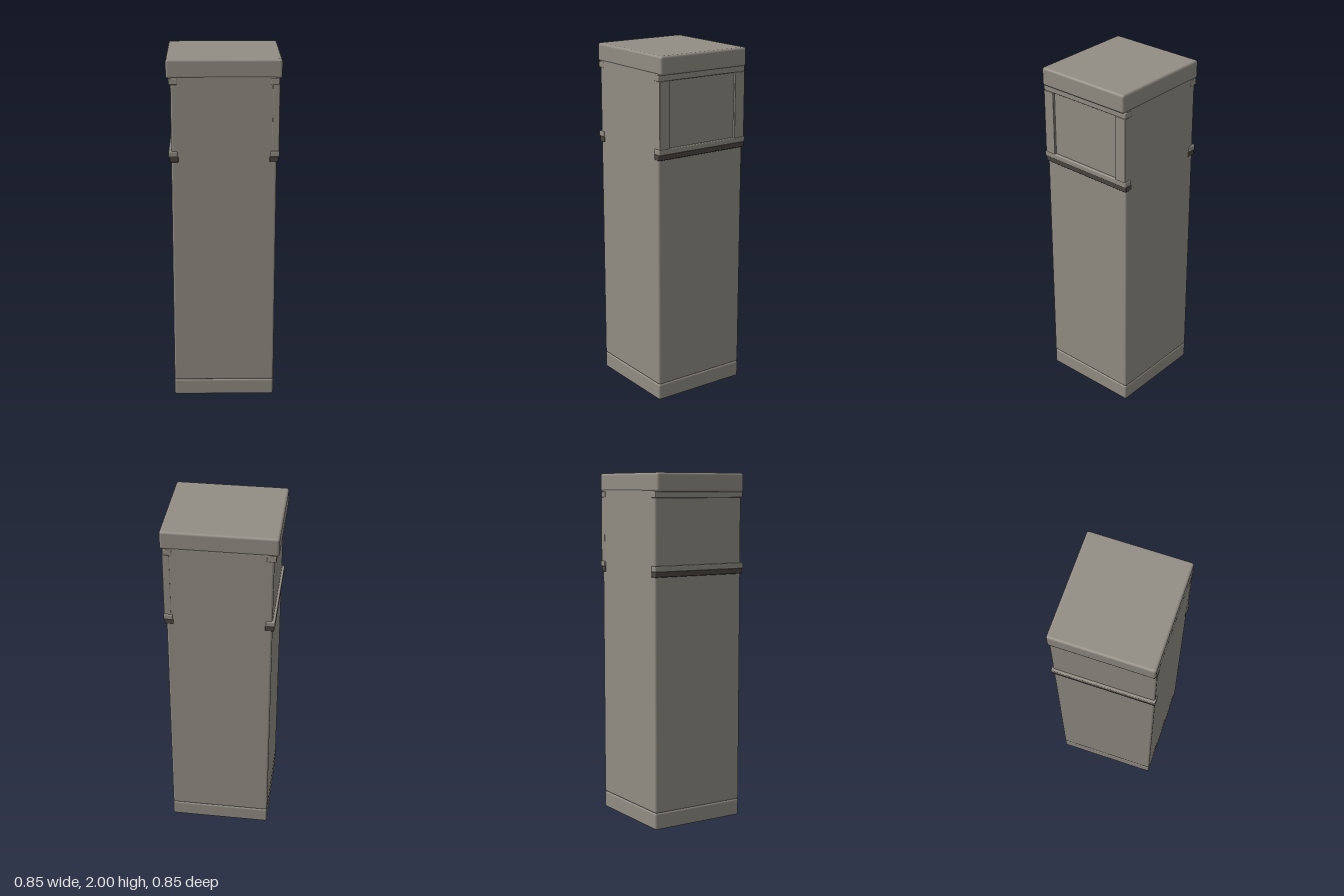
import * as THREE from 'three';
import { RoundedBoxGeometry } from 'three/addons/geometries/RoundedBoxGeometry.js';

export function createModel() {
  const stone = new THREE.MeshStandardMaterial({ color: 0x928d84 });
  stone.name = 'warm grey stone';
  const dark = new THREE.MeshStandardMaterial({ color: 0x4a4540 });
  dark.name = 'dark grey trim';

  const model = new THREE.Group();
  model.name = 'pillar';
  const pillar = new THREE.Group();
  pillar.name = 'turnedPillar';
  pillar.rotation.y = Math.PI / 4; // stands cornerwise
  model.add(pillar);

  // Box with softened edges, spanning y0 to y1
  function block(name, width, y0, y1, depth, radius, material, x = 0, z = 0) {
    const geometry = new RoundedBoxGeometry(width, y1 - y0, depth, 2, radius);
    const mesh = new THREE.Mesh(geometry, material);
    mesh.name = name;
    mesh.position.set(x, (y0 + y1) / 2, z);
    pillar.add(mesh);
  }

  // Base, shaft and overhanging cap
  block('base', 0.58, 0, 0.098, 0.58, 0.012, stone);
  block('shaft', 0.58, 0.096, 1.91, 0.58, 0.012, stone);
  block('cap', 0.58, 1.895, 2, 0.63, 0.014, stone);

  // Mouldings on the two opposite decorated faces
  for (const side of [1, -1]) {
    block('upperMoulding', 0.584, 1.862, 1.896, 0.05, 0.005, stone, 0, side * 0.276);
    block('ledge', 0.594, 1.46, 1.492, 0.05, 0.006, stone, 0, side * 0.28);
    block('underLedgeStrip', 0.588, 1.43, 1.462, 0.05, 0.005, dark, 0, side * 0.275);
  }

  // Upright frame posts beside the front panel
  for (const side of [1, -1]) {
    block('panelPost', 0.068, 1.488, 1.864, 0.04, 0.004, stone, side * 0.257, 0.283);
  }

  return model;
}
